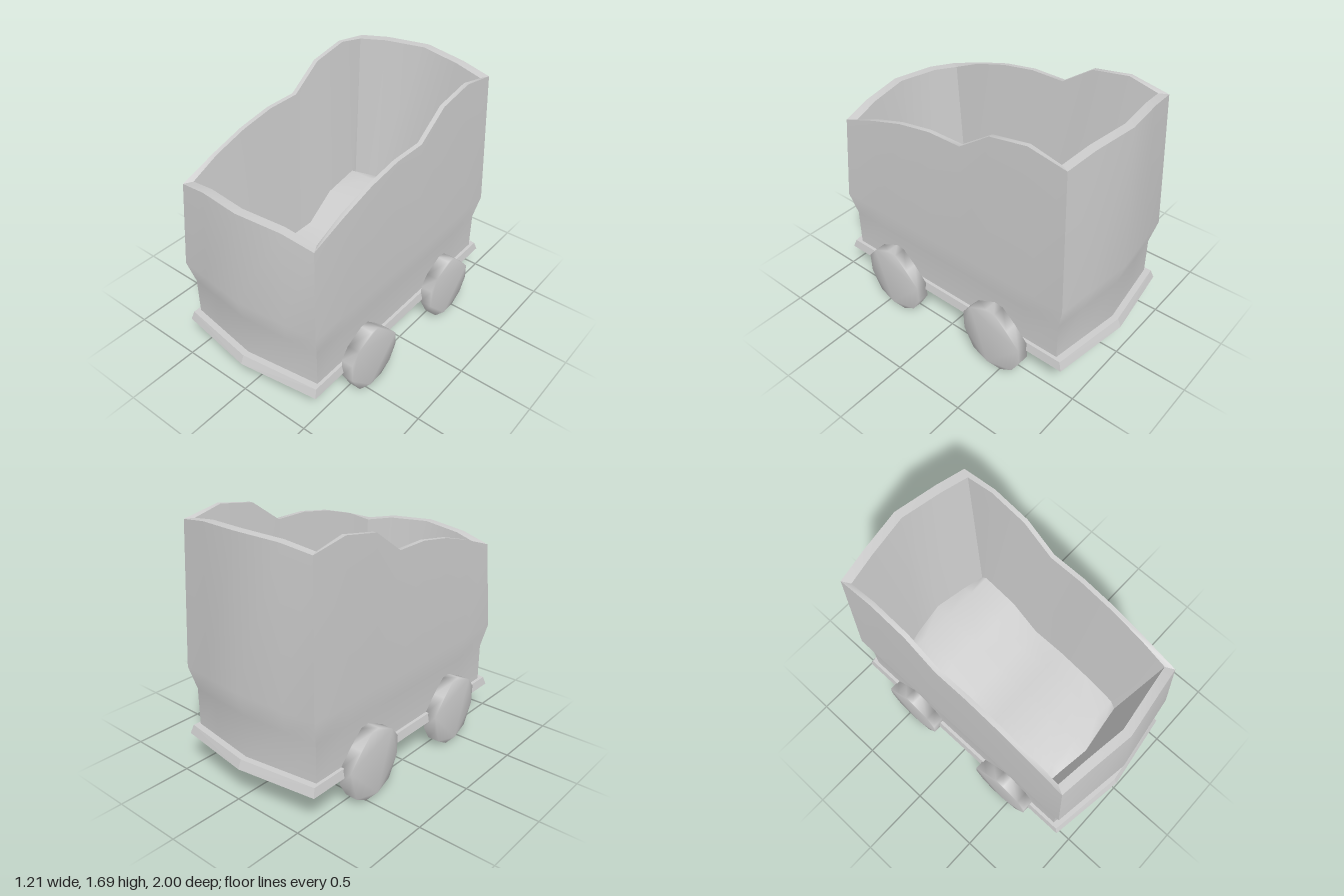
import * as THREE from 'three';
import { mergeVertices } from 'three/addons/utils/BufferGeometryUtils.js';
import { ConvexGeometry } from 'three/addons/geometries/ConvexGeometry.js';

const material = new THREE.MeshStandardMaterial({ color: 0xcccccc, side: THREE.DoubleSide });

// Wavy top edge of the side walls, [z, y] from front to back
const RIM = [[0.86, 1.29], [0.6, 1.38], [0.36, 1.45], [0.12, 1.49],
  [-0.12, 1.49], [-0.34, 1.645], [-0.6, 1.69], [-0.86, 1.645]];
// Stations across the end walls and how far their top edge rises there
const ACROSS = [-1, -0.59, 0, 0.59, 1];
const CROWN = { front: [0, 0.045, 0.062, 0.045, 0], back: [0, 0.032, 0.047, 0.032, 0] };
const DEPTH = 1.0;

// Plan sizes: half width, corner z, middle z; y is fixed, or measured from the rim by drop
const FOOT = { hx: 0.51, zc: 0.86, zm: 0.932, y: 0.27 };
const WAIST = { hx: 0.51, zc: 0.86, zm: 0.932, y: 0.535, lift: 0.025 };
const BULGE = { hx: 0.54, zc: 0.9, zm: 0.98, y: 0.695, lift: 0.035 };
const RIM_OUT = { hx: 0.51, zc: 0.857, zm: 0.93, drop: 0 };
const RIM_IN = { hx: 0.48, zc: 0.8, zm: 0.87, drop: 0 };
const FLOOR = { hx: 0.387, zc: 0.643, zm: 0.7, drop: DEPTH };

// Surface through rows of points
function grid(rows) {
  const n = rows[0].length, index = [];
  for (let r = 0; r < rows.length - 1; r++) {
    for (let c = 0; c < n - 1; c++) {
      const a = r * n + c, b = a + 1, d = a + n, e = d + 1;
      index.push(a, b, e, a, e, d);
    }
  }
  const geometry = new THREE.BufferGeometry();
  geometry.setAttribute('position', new THREE.Float32BufferAttribute(rows.flat(2), 3));
  geometry.setIndex(index);
  geometry.computeVertexNormals();
  return geometry;
}

// One row of an end wall; s is +1 at the front, -1 at the back
function endRow(level, s) {
  const corner = s > 0 ? RIM[0][1] : RIM[RIM.length - 1][1];
  const crown = s > 0 ? CROWN.front : CROWN.back;
  return ACROSS.map((u, i) => {
    const t = 1 - Math.abs(u);
    const y = level.y !== undefined ? level.y + (level.lift || 0) * t : corner + crown[i] - level.drop;
    return [s * u * level.hx, y, s * (level.zc + (level.zm - level.zc) * t)];
  });
}

// One row of a side wall; s is the sign of x
function sideRow(level, s) {
  const row = RIM.map(([z, y], i) => {
    const last = i === 0 || i === RIM.length - 1;
    const zz = last ? Math.sign(z) * level.zc : z;
    return [s * level.hx, level.y !== undefined ? level.y : y - level.drop, zz];
  });
  return s > 0 ? row : row.reverse();
}

export function createModel() {
  const model = new THREE.Group();
  model.name = 'cart';
  const add = (parent, name, geometry) => {
    const mesh = new THREE.Mesh(geometry, material);
    mesh.name = name;
    parent.add(mesh);
    return mesh;
  };

  // Tub: outer walls, rim and sloping inner walls
  const tub = new THREE.Group();
  tub.name = 'tub';
  tub.position.x = -0.013;
  model.add(tub);
  const layers = { OuterWall: [FOOT, WAIST, BULGE, RIM_OUT], Rim: [RIM_OUT, RIM_IN], InnerWall: [RIM_IN, FLOOR] };
  for (const [layer, levels] of Object.entries(layers)) {
    for (const s of [1, -1]) {
      add(tub, (s > 0 ? 'front' : 'back') + layer, grid(levels.map((l) => endRow(l, s))));
      add(tub, (s > 0 ? 'left' : 'right') + layer, grid(levels.map((l) => sideRow(l, s))));
    }
  }

  // Floor, following the wave of the rim
  const floorRows = RIM.map(([z, y], i) => {
    if (i === 0) return endRow(FLOOR, 1);
    if (i === RIM.length - 1) return endRow(FLOOR, -1).reverse();
    return ACROSS.map((u) => [u * FLOOR.hx, y - DEPTH, z]);
  });
  add(tub, 'floor', grid(floorRows));

  // Base plate with bevelled edge and pointed ends
  const corners = [];
  for (const [hx, zc, zm, y] of [[0.545, 0.92, 1.0, 0.22], [0.532, 0.9, 0.975, 0.277]]) {
    for (const s of [1, -1]) {
      corners.push(new THREE.Vector3(-hx, y, s * zc), new THREE.Vector3(0, y, s * zm), new THREE.Vector3(hx, y, s * zc));
    }
  }
  add(model, 'basePlate', new ConvexGeometry(corners)).position.x = -0.013;

  // Wheels: uneven low-poly discs with soft shading, outline as [z, y]
  const outline = [[0.227, 0.326], [0.168, 0.4], [0.035, 0.465], [-0.03, 0.46], [-0.125, 0.375], [-0.222, 0.267],
    [-0.227, 0.16], [-0.168, 0.059], [-0.078, 0.005], [0.035, 0], [0.147, 0.053], [0.222, 0.19]];
  const shape = new THREE.Shape(outline.map(([z, y]) => new THREE.Vector2(-z, y)));
  let disc = new THREE.ExtrudeGeometry(shape, { depth: 0.083, bevelEnabled: false });
  disc.deleteAttribute('normal');
  disc.deleteAttribute('uv');
  disc = mergeVertices(disc);
  disc.rotateY(Math.PI / 2);
  disc.computeVertexNormals();
  for (const [side, x] of [['Left', 0.52], ['Right', -0.605]]) {
    for (const [end, z] of [['front', 0.43], ['back', -0.43]]) {
      add(model, end + side + 'Wheel', disc).position.set(x, 0, z);
    }
  }
  return model;
}
